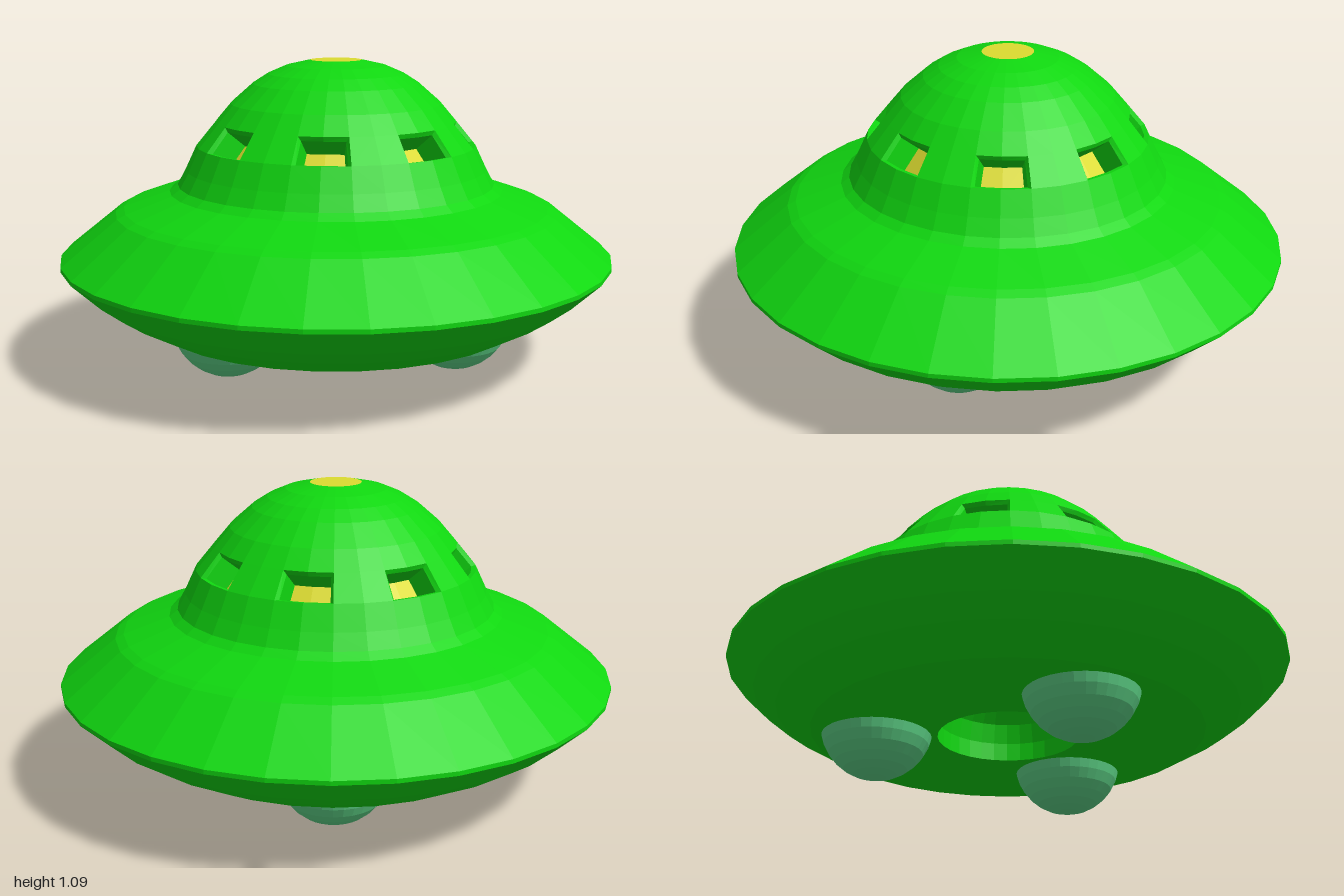
import * as THREE from 'three';

const SEGMENTS = 32;
const STEP = (Math.PI * 2) / SEGMENTS;

const green = new THREE.MeshStandardMaterial({ name: 'hull green', color: 0x10d810, flatShading: true });
const yellow = new THREE.MeshStandardMaterial({ name: 'window yellow', color: 0xdcdc30, flatShading: true });
const mint = new THREE.MeshStandardMaterial({ name: 'landing ball mint', color: 0x60d88a, flatShading: true });

function addMesh(parent, name, geometry, material) {
  const mesh = new THREE.Mesh(geometry, material);
  mesh.name = name;
  parent.add(mesh);
  return mesh;
}

function lathe(points) {
  return new THREE.LatheGeometry(points.map(([r, y]) => new THREE.Vector2(r, y)), SEGMENTS);
}

// Geometry from a list of four-cornered faces, anticlockwise from outside
function quads(list) {
  const positions = [];
  for (const [a, b, c, d] of list) {
    for (const p of [a, b, c, a, c, d]) positions.push(p.x, p.y, p.z);
  }
  const geometry = new THREE.BufferGeometry();
  geometry.setAttribute('position', new THREE.Float32BufferAttribute(positions, 3));
  geometry.computeVertexNormals();
  return geometry;
}

// Window band of the dome: lower and upper edge as [radius, height]
const LOW = [0.505, 0.785];
const HIGH = [0.435, 0.87];

// Point on the band at angle phi, fraction t up the slope, sunk inward by depth
function bandPoint(phi, t, depth = 0) {
  const r = THREE.MathUtils.lerp(LOW[0], HIGH[0], t) - 0.77 * depth;
  const y = THREE.MathUtils.lerp(LOW[1], HIGH[1], t) - 0.63 * depth;
  return new THREE.Vector3(r * Math.sin(phi), y, r * Math.cos(phi));
}

// Outline of one window, two hull segments wide, shrunk by inset
function windowLoop(start, inset, depth) {
  const a = start + inset * 0.25;
  const m = start + STEP;
  const b = start + 2 * STEP - inset * 0.25;
  return [[a, inset], [m, inset], [b, inset], [b, 1 - inset], [m, 1 - inset], [a, 1 - inset]]
    .map(([phi, t]) => bandPoint(phi, t, depth));
}

export function createModel() {
  const model = new THREE.Group();
  model.name = 'flyingSaucer';

  // Saucer body, starting in the hollow below and ending at the windows
  addMesh(model, 'saucerHull', lathe([
    [0, 0.345], [0.2, 0.345], [0.235, 0.29], [0.25, 0.22], [0.25, 0.155],
    [0.695, 0.155], [0.82, 0.225], [0.9, 0.28], [1, 0.375], [1, 0.39],
    [0.8, 0.55], [0.77, 0.565], [0.605, 0.622], [0.575, 0.645], [0.545, 0.7], LOW,
  ]), green);

  // Dome above the windows
  addMesh(model, 'domeTop', lathe([
    HIGH, [0.38, 0.935], [0.3, 1.005], [0.245, 1.04], [0.18, 1.068], [0.092, 1.088],
  ]), green);
  const cap = addMesh(model, 'topLight', new THREE.CircleGeometry(0.092, SEGMENTS), yellow);
  cap.rotation.x = -Math.PI / 2;
  cap.position.y = 1.088;

  // Band of eight recessed windows
  const wall = [];
  const recess = [];
  const panes = [];
  for (let i = 0; i < 8; i++) {
    const start = (i * 4 - 2) * STEP;
    for (const k of [2, 3]) {
      const p = start + k * STEP;
      wall.push([bandPoint(p, 0), bandPoint(p + STEP, 0), bandPoint(p + STEP, 1), bandPoint(p, 1)]);
    }
    const loops = [windowLoop(start, 0, 0), windowLoop(start, 0.08, 0.015), windowLoop(start, 0.08, 0.1)];
    for (let j = 0; j < 2; j++) {
      for (let k = 0; k < 6; k++) {
        const n = (k + 1) % 6;
        recess.push([loops[j][k], loops[j][n], loops[j + 1][n], loops[j + 1][k]]);
      }
    }
    const back = loops[2];
    panes.push([back[0], back[1], back[4], back[5]], [back[1], back[2], back[3], back[4]]);
  }
  addMesh(model, 'windowBand', quads(wall), green);
  addMesh(model, 'windowRecesses', quads(recess), green);
  addMesh(model, 'windowPanes', quads(panes), yellow);

  // Three landing balls, one at the back and two at the front
  for (let i = 0; i < 3; i++) {
    const angle = Math.PI + (i * Math.PI * 2) / 3;
    const ball = addMesh(model, 'landingBall', new THREE.SphereGeometry(0.2, 32, 16), mint);
    ball.position.set(0.465 * Math.sin(angle), 0.2, 0.465 * Math.cos(angle));
  }

  return model;
}
